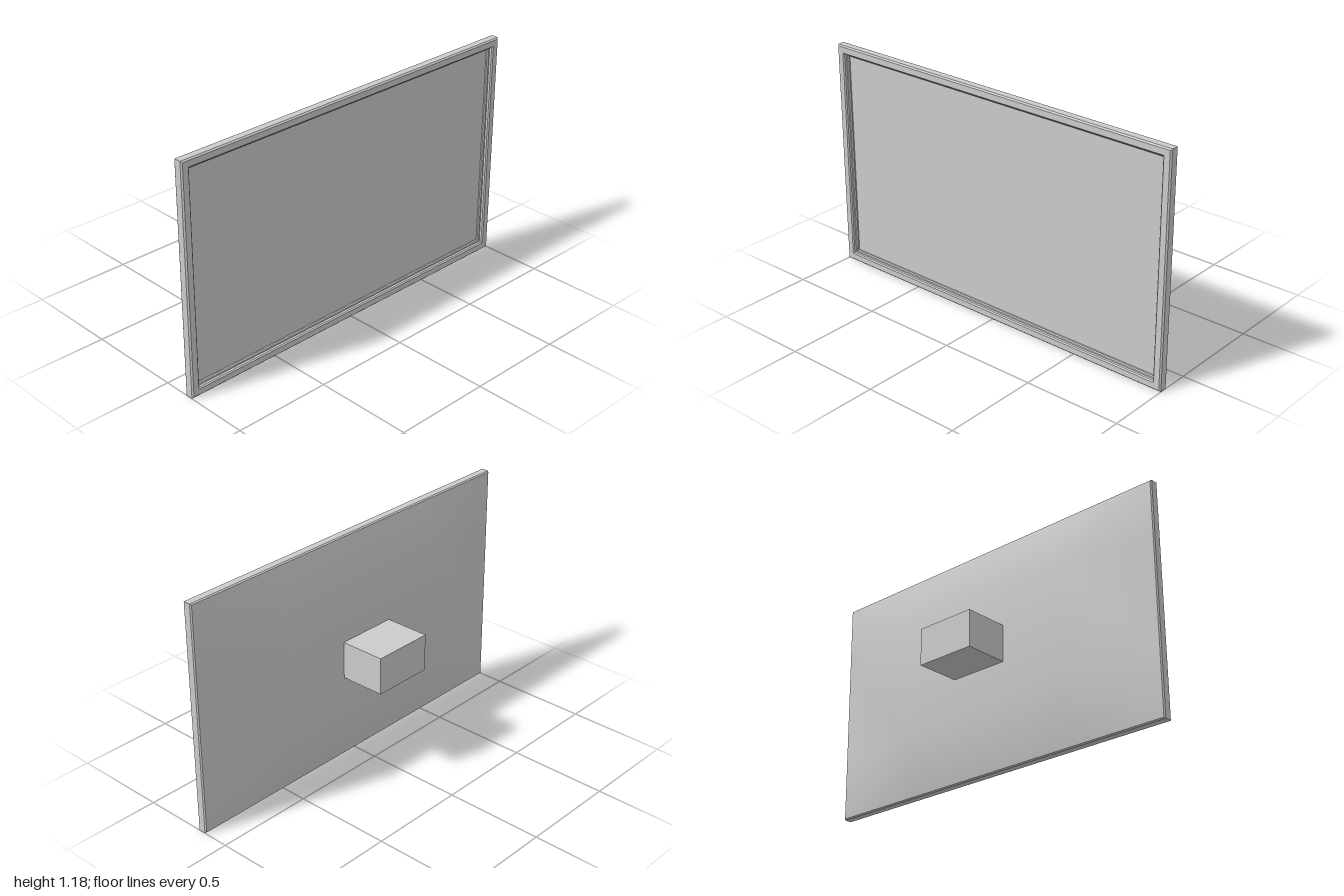
import * as THREE from 'three';

const W = 1, H = 0.59; // half width, half height
const grey = (opts = {}) => new THREE.MeshStandardMaterial({ color: 0xcccccc, ...opts });

function makeGeometry(positions, index) {
  const g = new THREE.BufferGeometry();
  g.setAttribute('position', new THREE.Float32BufferAttribute(positions, 3));
  g.setIndex(index);
  g.computeVertexNormals();
  return g;
}

// Rectangular rings joined into a picture-frame shape; each step is [inset, z]
function frameGeometry(steps) {
  const pos = [], idx = [];
  for (const [d, z] of steps) {
    for (const [sx, sy] of [[-1, -1], [1, -1], [1, 1], [-1, 1]]) {
      pos.push(sx * (W - d), H + sy * (H - d), z);
    }
  }
  for (let i = 0; i < steps.length - 1; i++) {
    for (let k = 0; k < 4; k++) {
      const n = (k + 1) % 4, a = i * 4 + k, b = i * 4 + n;
      idx.push(a, b, b + 4, a, b + 4, a + 4);
    }
  }
  return makeGeometry(pos, idx);
}

// Bulging rear shell: a 3 x 3 grid whose centre cell is pushed back.
// Corner cells share only their inner vertex, which leaves soft creases.
function shellGeometry() {
  const xs = [-0.995, -0.5, 0.5, 0.995], ys = [0.005, 0.3, 0.89, 1.175];
  const pos = [], idx = [], ids = new Map();
  const inner = (n) => n === 1 || n === 2;
  const vertex = (i, j, cell) => {
    const deep = inner(i) && inner(j);
    const key = `${i},${j},${deep ? '' : cell}`;
    if (!ids.has(key)) {
      ids.set(key, pos.length / 3);
      pos.push(xs[i], ys[j], deep ? 0.05 : 0.13);
    }
    return ids.get(key);
  };
  for (let i = 0; i < 3; i++) {
    for (let j = 0; j < 3; j++) {
      const cell = `${i}${j}`;
      const a = vertex(i, j, cell), b = vertex(i + 1, j, cell);
      const c = vertex(i + 1, j + 1, cell), d = vertex(i, j + 1, cell);
      if (i + j === 2) idx.push(a, d, b, b, d, c);
      else idx.push(a, c, b, a, d, c);
    }
  }
  return makeGeometry(pos, idx);
}

export function createModel() {
  const model = new THREE.Group();
  model.name = 'wallScreen';
  const add = (name, geometry, material) => {
    const mesh = new THREE.Mesh(geometry, material);
    mesh.name = name;
    model.add(mesh);
    return mesh;
  };

  // Bezel with chamfered outer edges and a stepped inner lip
  add('bezel', frameGeometry([
    [0.005, 0.13], [0, 0.137], [0, 0.173], [0.007, 0.18],
    [0.037, 0.18], [0.043, 0.174], [0.043, 0.162], [0.05, 0.162], [0.055, 0.157], [0.055, 0.148],
  ]), grey({ flatShading: true }));

  // Recessed display surface
  const screen = add('screen', new THREE.PlaneGeometry(2 * W - 0.11, 2 * H - 0.11), grey());
  screen.position.set(0, H, 0.15);

  // Sloped back cover
  add('backShell', shellGeometry(), grey());

  // Mounting block behind the cover
  const mount = add('wallMount', new THREE.BoxGeometry(0.315, 0.19, 0.24), grey());
  mount.position.set(0, 0.593, -0.063);

  return model;
}
